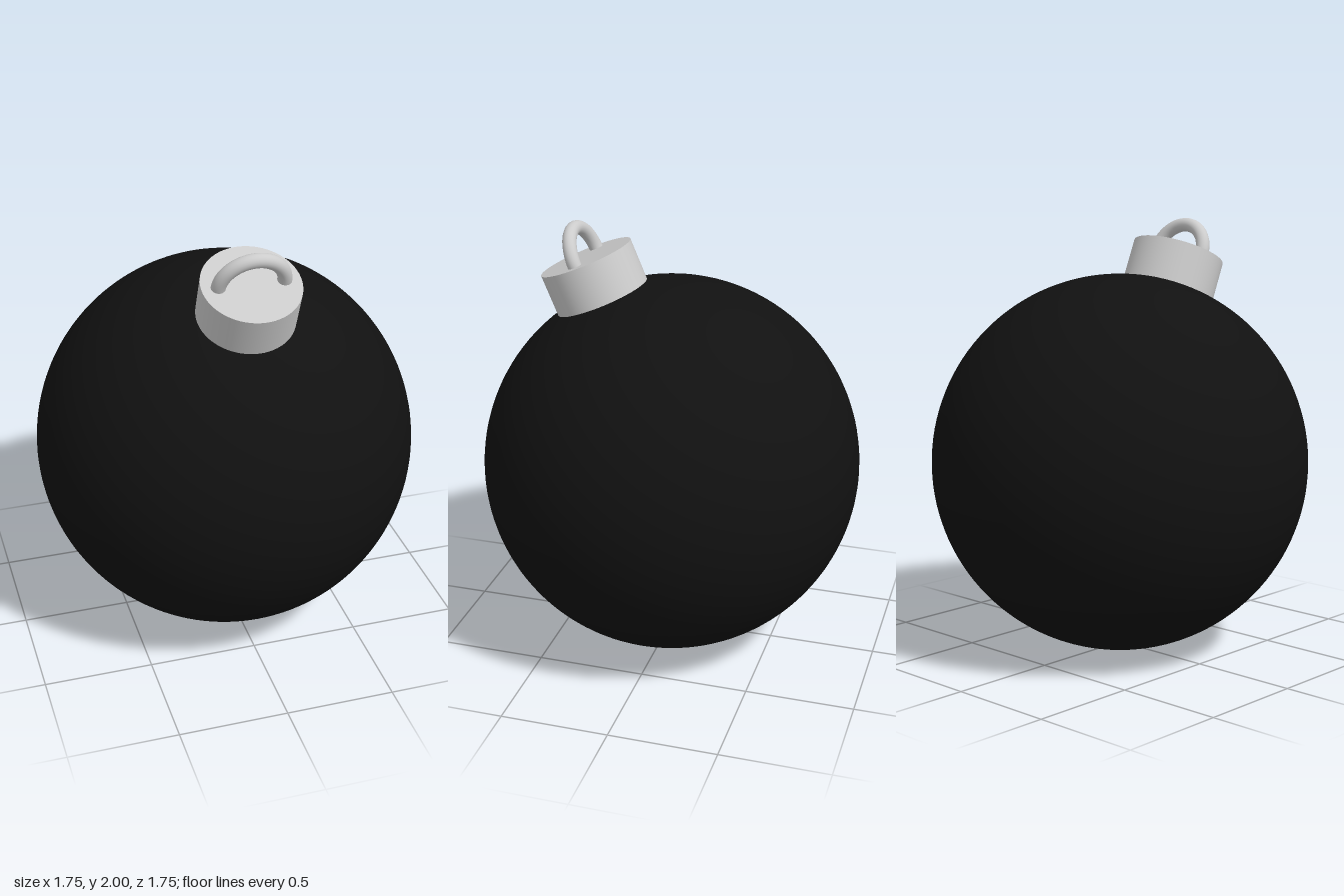
import * as THREE from 'three';

const RADIUS = 0.877; // ball
const TILT = 0.4; // cap leans towards the front
const CAP_TOP = 1.045; // distance of the cap's top from the ball's centre
const CAP_HEIGHT = 0.197;

function addPart(parent, name, geometry, material, y = 0) {
  const mesh = new THREE.Mesh(geometry, material);
  mesh.name = name;
  mesh.position.y = y;
  parent.add(mesh);
}

export function createModel() {
  const model = new THREE.Group();
  model.name = 'bauble';
  const black = new THREE.MeshStandardMaterial({ color: 0x111111 });
  const grey = new THREE.MeshStandardMaterial({ color: 0xcccccc });

  // Round body resting on the ground
  addPart(model, 'ball', new THREE.SphereGeometry(RADIUS, 96, 64), black, RADIUS);

  // Cap and hanging loop share one tilted axis through the ball's centre
  const top = new THREE.Group();
  top.name = 'hanger';
  top.position.y = RADIUS;
  top.rotation.x = TILT;
  model.add(top);

  addPart(top, 'cap', new THREE.CylinderGeometry(0.219, 0.219, CAP_HEIGHT, 64), grey, CAP_TOP - CAP_HEIGHT / 2);
  // Half ring whose feet sink slightly into the cap
  addPart(top, 'loop', new THREE.TorusGeometry(0.146, 0.032, 20, 48, Math.PI), grey, CAP_TOP - 0.006);

  return model;
}
